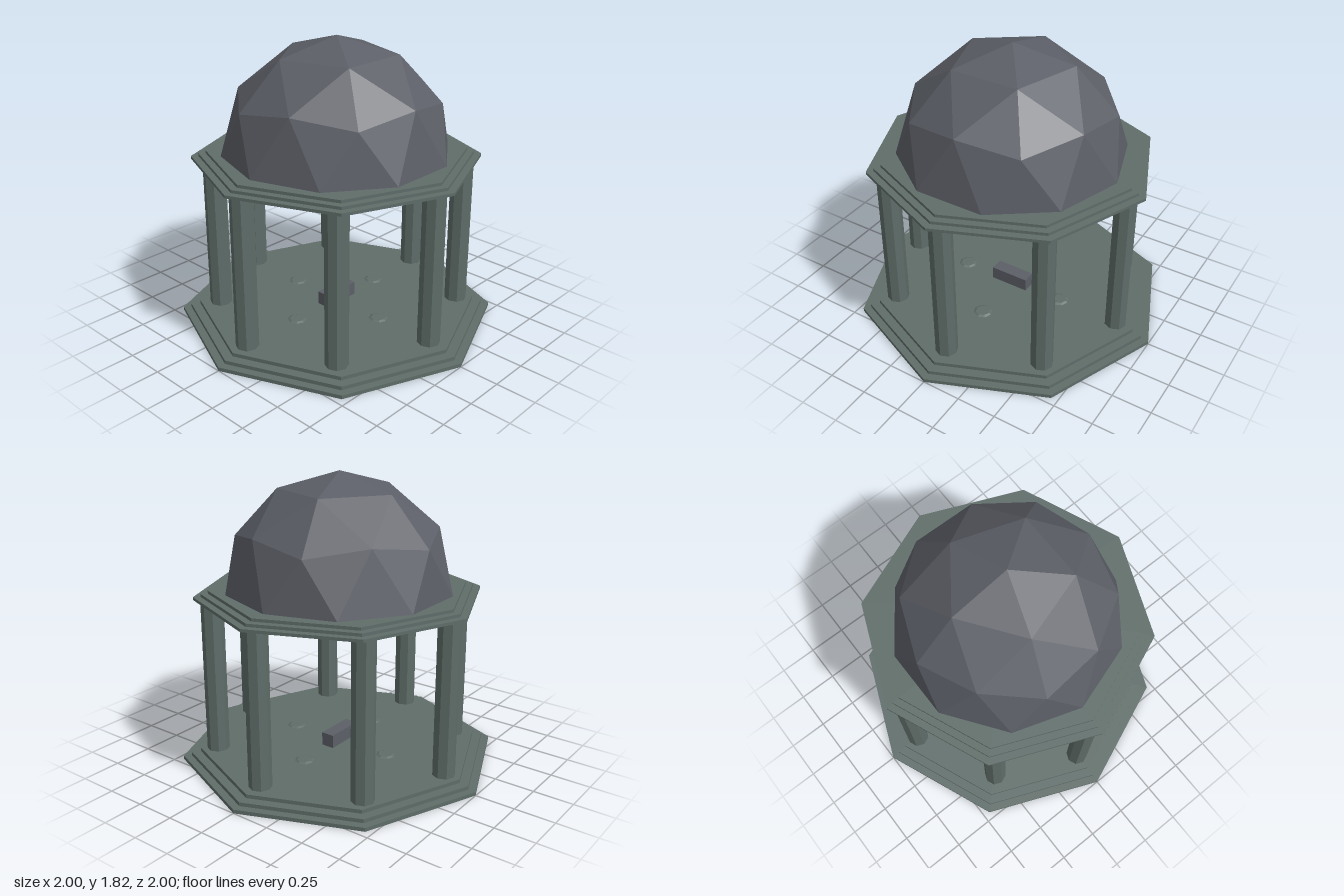
import * as THREE from 'three';

const stone = new THREE.MeshStandardMaterial({ color: 0x5f6d69, flatShading: true });
const slate = new THREE.MeshStandardMaterial({ color: 0x5c5f67, flatShading: true, side: THREE.DoubleSide });

function addMesh(parent, name, geometry, material, x = 0, y = 0, z = 0) {
  const mesh = new THREE.Mesh(geometry, material);
  mesh.name = name;
  mesh.position.set(x, y, z);
  parent.add(mesh);
  return mesh;
}

// Octagonal prism standing on y = bottom, corners on the axes
function octagon(parent, name, radius, bottom, top, x = 0, z = 0, topRadius = radius) {
  const geometry = new THREE.CylinderGeometry(topRadius, radius, top - bottom, 8);
  return addMesh(parent, name, geometry, stone, x, (bottom + top) / 2, z);
}

// Upper half of a once-subdivided icosahedron with a corner at the top
function domeGeometry(radius) {
  const ball = new THREE.IcosahedronGeometry(radius, 1);
  ball.rotateZ(Math.atan(2 / (1 + Math.sqrt(5))));
  const p = ball.attributes.position;
  const kept = [];
  for (let i = 0; i < p.count; i += 3) {
    if (p.getY(i) + p.getY(i + 1) + p.getY(i + 2) < 0.01) continue;
    for (let j = i; j < i + 3; j++) kept.push(p.getX(j), p.getY(j), p.getZ(j));
  }
  const dome = new THREE.BufferGeometry();
  dome.setAttribute('position', new THREE.Float32BufferAttribute(kept, 3));
  dome.computeVertexNormals();
  return dome;
}

export function createModel() {
  const model = new THREE.Group();
  model.name = 'pavilion';

  // Stepped floor
  const base = new THREE.Group();
  base.name = 'steppedBase';
  [1, 0.95, 0.89].forEach((r, i) => octagon(base, 'baseStep', r, i * 0.0235, (i + 1) * 0.0235));
  model.add(base);

  // Columns, slightly uneven around the ring
  const columns = new THREE.Group();
  columns.name = 'columns';
  const spots = [
    [0, 0.773], [0.525, 0.555], [0.757, 0], [0.55, -0.55],
    [0, -0.767], [-0.57, -0.54], [-0.78, 0], [-0.525, 0.538],
  ];
  for (const [x, z] of spots) octagon(columns, 'column', 0.07, 0.07, 1.057, x, z);
  model.add(columns);

  // Stepped roof ring under the dome
  const roof = new THREE.Group();
  roof.name = 'steppedRoof';
  [0.89, 0.845, 0.8].forEach((r, i) => octagon(roof, 'roofStep', r, 1.055 + i * 0.0183, 1.0733 + i * 0.0183));
  model.add(roof);

  addMesh(model, 'dome', domeGeometry(0.706), slate, 0, 1.109, 0);

  // Stone block in the middle, with a low floor stud on each side
  addMesh(model, 'centreBlock', new THREE.BoxGeometry(0.085, 0.09, 0.255), slate, 0, 0.111, 0);
  for (let i = 0; i < 4; i++) {
    const a = (i * Math.PI) / 2;
    octagon(model, 'floorStud', 0.066, 0.068, 0.078, 0.36 * Math.sin(a), 0.36 * Math.cos(a), 0.045);
  }
  return model;
}
